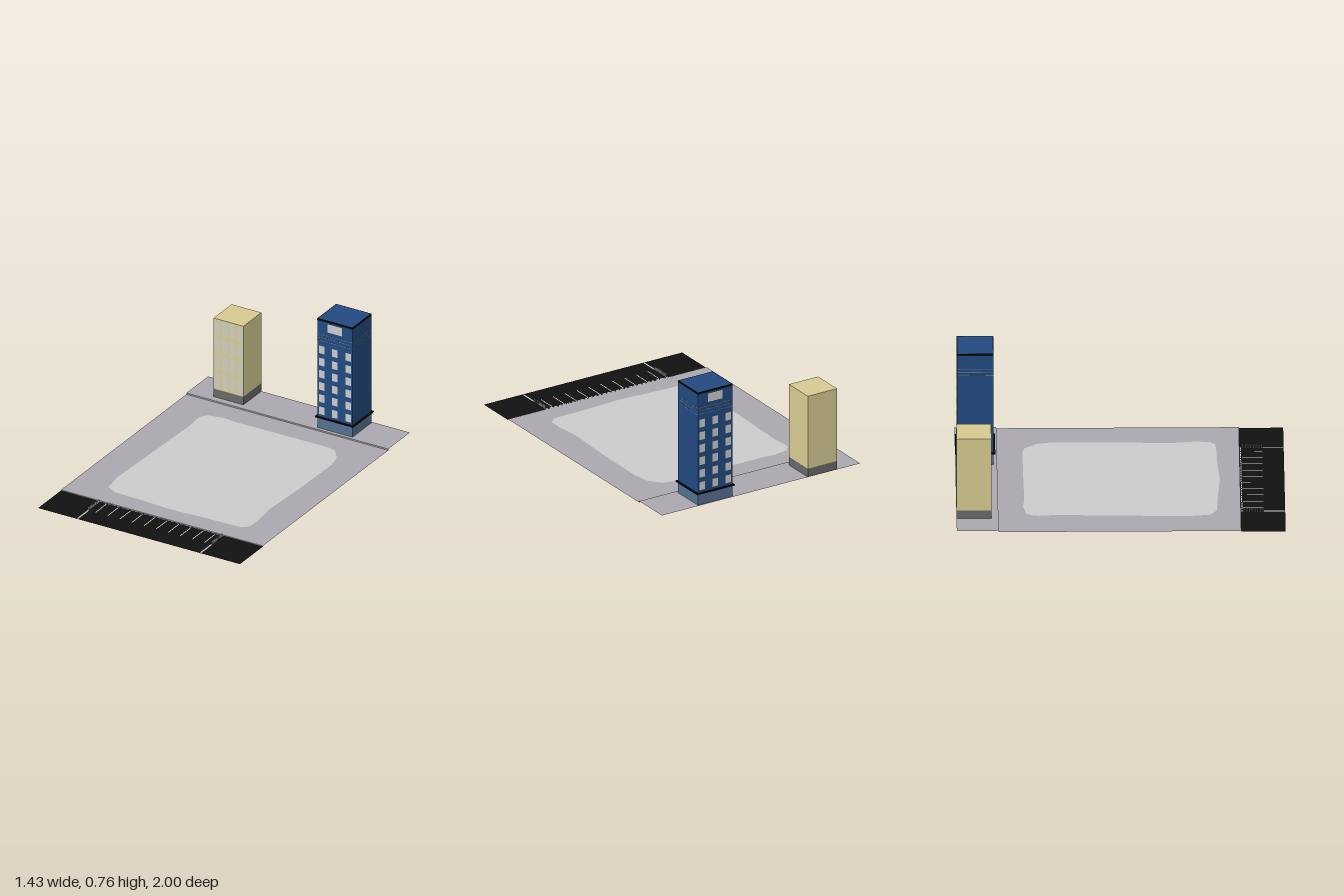
import * as THREE from 'three';

const mat = (color, extra = {}) => new THREE.MeshStandardMaterial({ color, ...extra });
const grey = mat(0xcccccc, { side: THREE.DoubleSide });
const paving = mat(0xaaa8ae, { side: THREE.DoubleSide });
const asphalt = mat(0x111111, { side: THREE.DoubleSide });
const black = mat(0x0c0c0c);
const blue = mat(0x224a80);
const paleBlue = mat(0x557090);
const sand = mat(0xd6ca92);
const darkGrey = mat(0x686868);

const W = 1.434;            // ground width
const CURB = 0.73, STEP = -0.745;
const PLAZA_Y = 0.005, BACK_Y = 0.014;

function add(parent, name, geometry, material, x = 0, y = 0, z = 0) {
  const m = new THREE.Mesh(geometry, material);
  m.name = name;
  m.position.set(x, y, z);
  parent.add(m);
  return m;
}

// Box given by its extents
function box(parent, name, material, x0, x1, y0, y1, z0, z1) {
  return add(parent, name, new THREE.BoxGeometry(x1 - x0, y1 - y0, z1 - z0), material,
    (x0 + x1) / 2, (y0 + y1) / 2, (z0 + z1) / 2);
}

// Horizontal sheet facing up
function sheet(parent, name, material, x0, x1, z0, z1, y) {
  const g = new THREE.PlaneGeometry(x1 - x0, z1 - z0).rotateX(-Math.PI / 2);
  return add(parent, name, g, material, (x0 + x1) / 2, y, (z0 + z1) / 2);
}

// Upright sheet facing the front (dir 1) or the back (dir -1)
function pane(parent, name, material, x, y, w, h, z, dir = 1) {
  const m = add(parent, name, new THREE.PlaneGeometry(w, h), material, x, y, z + dir * 0.0012);
  if (dir < 0) m.rotation.y = Math.PI;
  return m;
}

function createGround() {
  const g = new THREE.Group();
  g.name = 'ground';
  const h = W / 2;
  sheet(g, 'road', asphalt, -h, h, CURB, 1, 0);
  sheet(g, 'backPavement', paving, -h, h, -1, STEP, BACK_Y);
  pane(g, 'frontCurb', paving, 0, PLAZA_Y / 2, W, PLAZA_Y, CURB - 0.0012);
  pane(g, 'backStep', paving, 0, (PLAZA_Y + BACK_Y) / 2, W, BACK_Y - PLAZA_Y, STEP - 0.0012);

  // Irregular clearing set into the plaza (x, z)
  const outline = [
    [-0.49, -0.54], [-0.46, -0.575], [-0.36, -0.595], [-0.28, -0.585], [0, -0.588], [0.38, -0.59],
    [0.44, -0.575], [0.5, -0.5], [0.52, -0.4], [0.515, 0], [0.5, 0.3], [0.52, 0.46], [0.515, 0.55],
    [0.48, 0.585], [0.4, 0.59], [0.2, 0.595], [0, 0.607], [-0.2, 0.595], [-0.43, 0.585],
    [-0.49, 0.545], [-0.51, 0.41], [-0.5, 0.1], [-0.485, -0.4], [-0.495, -0.5],
  ].map(([x, z]) => new THREE.Vector2(x, -z));
  const plaza = new THREE.Shape([
    new THREE.Vector2(-h, -CURB), new THREE.Vector2(h, -CURB),
    new THREE.Vector2(h, -STEP), new THREE.Vector2(-h, -STEP),
  ]);
  plaza.holes.push(new THREE.Path(outline));
  const flat = (s) => new THREE.ShapeGeometry(s).rotateX(-Math.PI / 2);
  add(g, 'plaza', flat(plaza), paving, 0, PLAZA_Y, 0);
  add(g, 'clearing', flat(new THREE.Shape(outline)), grey, 0, PLAZA_Y, 0);
  return g;
}

function createParking() {
  const g = new THREE.Group();
  g.name = 'parking';
  // Bay lines
  for (let i = 0; i < 10; i++) {
    const x = -0.386 + i * 0.0858;
    sheet(g, 'bayLine', grey, x - 0.003, x + 0.003, 0.745, 0.87, 0.002);
  }
  // Dashes along the curb
  for (let i = 0; i < 28; i++) {
    const x = -0.432 + i * 0.032;
    sheet(g, 'curbDash', grey, x - 0.011, x + 0.011, 0.734, 0.74, 0.003);
  }
  // Side lines, each with a row of small posts
  for (const s of [-1, 1]) {
    const x = s * 0.437;
    sheet(g, 'sideLine', grey, x - 0.005, x + 0.005, 0.87, 1, 0.002);
    for (let i = 0; i < 8; i++) {
      const z = 0.75 + i * 0.0165;
      box(g, 'post', grey, x - 0.003, x + 0.003, 0.001, 0.022, z - 0.003, z + 0.003);
    }
  }
  return g;
}

function createBlueTower() {
  const g = new THREE.Group();
  g.name = 'blueTower';
  const x0 = 0.2, x1 = 0.45, z0 = -0.989, z1 = -0.767, xc = 0.325, zc = (z0 + z1) / 2;
  box(g, 'groundFloor', paleBlue, x0, x1, 0.014, 0.09, z0, z1);
  box(g, 'towerBody', blue, x0, x1, 0.09, 0.752, z0, z1);
  box(g, 'canopy', black, 0.189, 0.461, 0.086, 0.094, -1, -0.756);
  box(g, 'roofTrim', black, x0 - 0.001, x1 + 0.001, 0.75, 0.761, z0 - 0.001, z1 + 0.001);
  sheet(g, 'roof', blue, x0 + 0.004, x1 - 0.004, z0 + 0.004, z1 - 0.004, 0.7622);
  // Bands around the upper storey
  for (const y of [0.616, 0.638, 0.659]) {
    add(g, 'wallBand', new THREE.BoxGeometry(x1 - x0 + 0.002, 0.005, z1 - z0 + 0.002), paleBlue, xc, y, zc);
  }
  // Windows and blank panel on front and back
  for (const [z, dir] of [[z1, 1], [z0, -1]]) {
    for (let r = 0; r < 6; r++) {
      for (let c = -1; c <= 1; c++) {
        pane(g, 'window', grey, xc + c * 0.094, 0.137 + r * 0.0833, 0.039, 0.052, z, dir);
      }
    }
    pane(g, 'topPanel', grey, xc, 0.712, 0.104, 0.056, z, dir);
  }
  return g;
}

function createSandBlock() {
  const g = new THREE.Group();
  g.name = 'sandBlock';
  const x0 = -0.55, x1 = -0.338, z0 = -1, z1 = -0.788;
  box(g, 'groundFloor', darkGrey, x0, x1, 0.015, 0.07, z0, z1);
  box(g, 'blockBody', sand, x0, x1, 0.07, 0.553, z0, z1);
  // Tall windows on the front
  for (let r = 0; r < 4; r++) {
    for (let c = 0; c < 4; c++) {
      pane(g, 'window', grey, -0.524 + c * 0.054, 0.133 + r * 0.1203, 0.029, 0.101, z1);
    }
  }
  return g;
}

export function createModel() {
  const model = new THREE.Group();
  model.name = 'cityLot';
  model.add(createGround(), createParking(), createBlueTower(), createSandBlock());
  return model;
}
